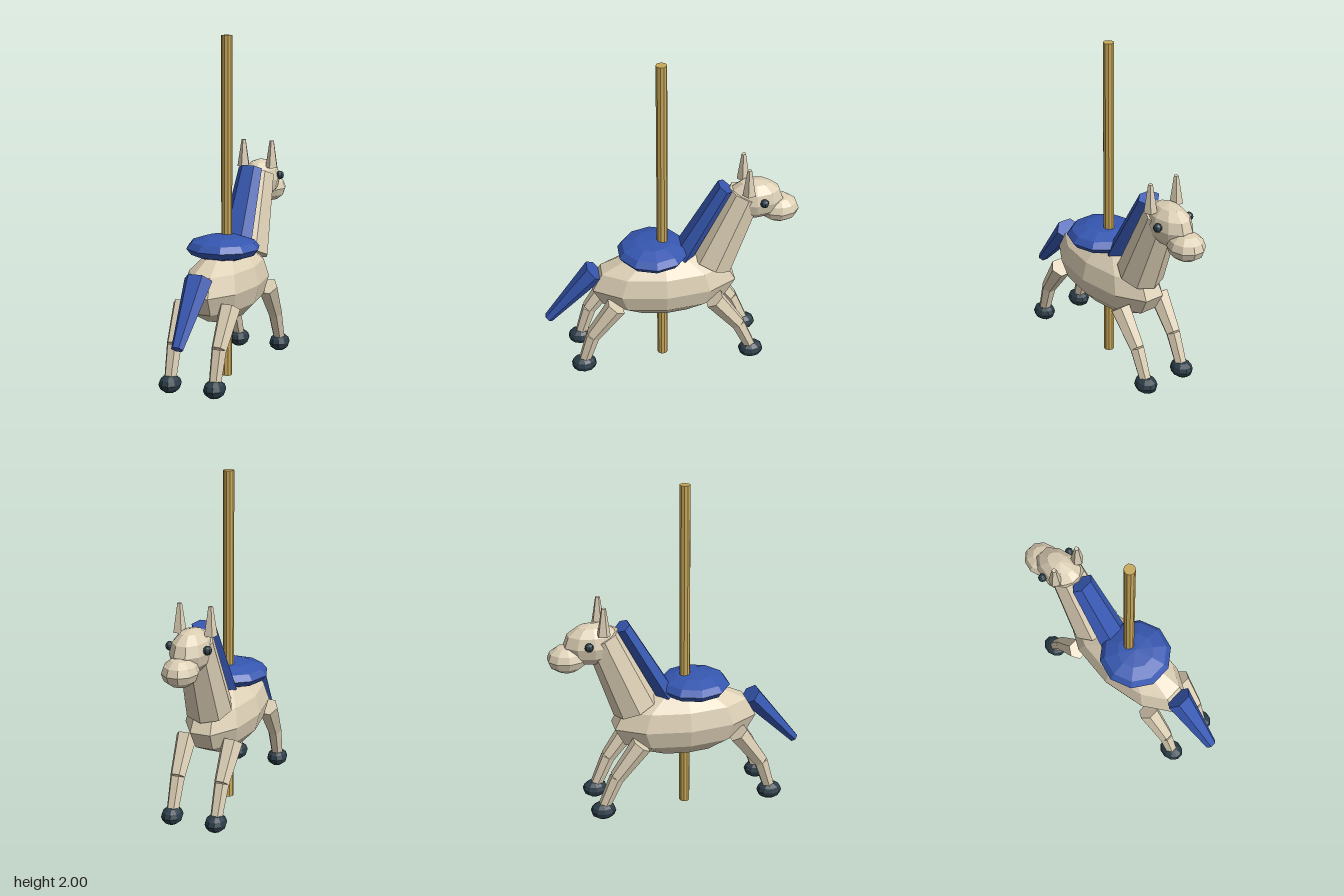
import * as THREE from 'three';

const material = (name, color) => {
  const m = new THREE.MeshStandardMaterial({ color });
  m.name = name;
  return m;
};

export function createModel() {
  const model = new THREE.Group();
  model.name = 'carouselHorse';

  const cream = material('cream', 0xdccfb5);
  const blue = material('blue', 0x3657b0);
  const slate = material('slate', 0x2a3c47);
  const gold = material('gold', 0xc8a85a);

  // Adds a faceted mesh
  function add(name, geometry, mat) {
    const faceted = geometry.toNonIndexed();
    faceted.computeVertexNormals();
    const mesh = new THREE.Mesh(faceted, mat);
    mesh.name = name;
    model.add(mesh);
    return mesh;
  }

  // Faceted ellipsoid
  function ellipsoid(name, mat, center, radii, sides = 10, rows = 6) {
    const geometry = new THREE.SphereGeometry(1, sides, rows);
    geometry.scale(...radii);
    geometry.translate(...center);
    return add(name, geometry, mat);
  }

  // Tapered prism from one point to another, optionally flattened
  function limb(name, mat, from, to, r0, r1, sides = 6, flat = 1) {
    const a = new THREE.Vector3(...from);
    const b = new THREE.Vector3(...to);
    const axis = b.clone().sub(a);
    const geometry = new THREE.CylinderGeometry(r1, r0, axis.length(), sides);
    if (sides === 6) geometry.rotateY(Math.PI / 6);
    geometry.scale(1, 1, flat);
    // Pitch about x, then lean sideways, so the prism does not twist
    const pitch = Math.atan2(axis.z, axis.y);
    const lean = -Math.asin(axis.x / axis.length());
    geometry.rotateZ(lean);
    geometry.rotateX(pitch);
    const mid = a.add(b).multiplyScalar(0.5);
    geometry.translate(mid.x, mid.y, mid.z);
    return add(name, geometry, mat);
  }

  // Pole
  limb('pole', gold, [0, 0, 0.045], [0, 2, 0.045], 0.032, 0.032, 10);

  // Body, neck and head
  ellipsoid('body', cream, [0, 0.56, 0.04], [0.2, 0.215, 0.452]);
  limb('neck', cream, [0, 0.68, -0.255], [0, 1.14, -0.447], 0.14, 0.105, 8);
  ellipsoid('head', cream, [0, 1.1, -0.5], [0.11, 0.125, 0.172]);
  ellipsoid('muzzle', cream, [0, 1.022, -0.65], [0.104, 0.082, 0.117]);

  // Saddle, mane and tail
  ellipsoid('saddle', blue, [0, 0.782, 0.1], [0.218, 0.073, 0.216]);
  limb('mane', blue, [0, 0.74, -0.075], [0, 1.19, -0.324], 0.1, 0.075, 6, 0.62);
  limb('tail', blue, [0, 0.34, 0.74], [0, 0.665, 0.453], 0.036, 0.085, 6, 0.8);

  for (const [side, s] of [['left', 1], ['right', -1]]) {
    // Ears and eyes
    limb(side + 'Ear', cream, [s * 0.092, 1.18, -0.45], [s * 0.092, 1.345, -0.447], 0.04, 0.014, 5);
    ellipsoid(side + 'Eye', slate, [s * 0.112, 1.123, -0.538], [0.026, 0.026, 0.026], 8, 6);

    // Legs in mid gallop: hip, knee and hoof positions along y and z
    const legs = [
      ['Front', [0.485, -0.25], [0.285, -0.4], [0.09, -0.485]],
      ['Rear', [0.49, 0.34], [0.285, 0.485], [0.09, 0.545]],
    ];
    for (const [end, hip, knee, foot] of legs) {
      const name = side + end;
      limb(name + 'UpperLeg', cream, [s * 0.142, ...hip], [s * 0.137, ...knee], 0.064, 0.046);
      limb(name + 'LowerLeg', cream, [s * 0.137, ...knee], [s * 0.136, ...foot], 0.045, 0.036);
      ellipsoid(name + 'Hoof', slate, [s * 0.136, 0.076, foot[1]], [0.063, 0.053, 0.077]);
    }
  }

  return model;
}
